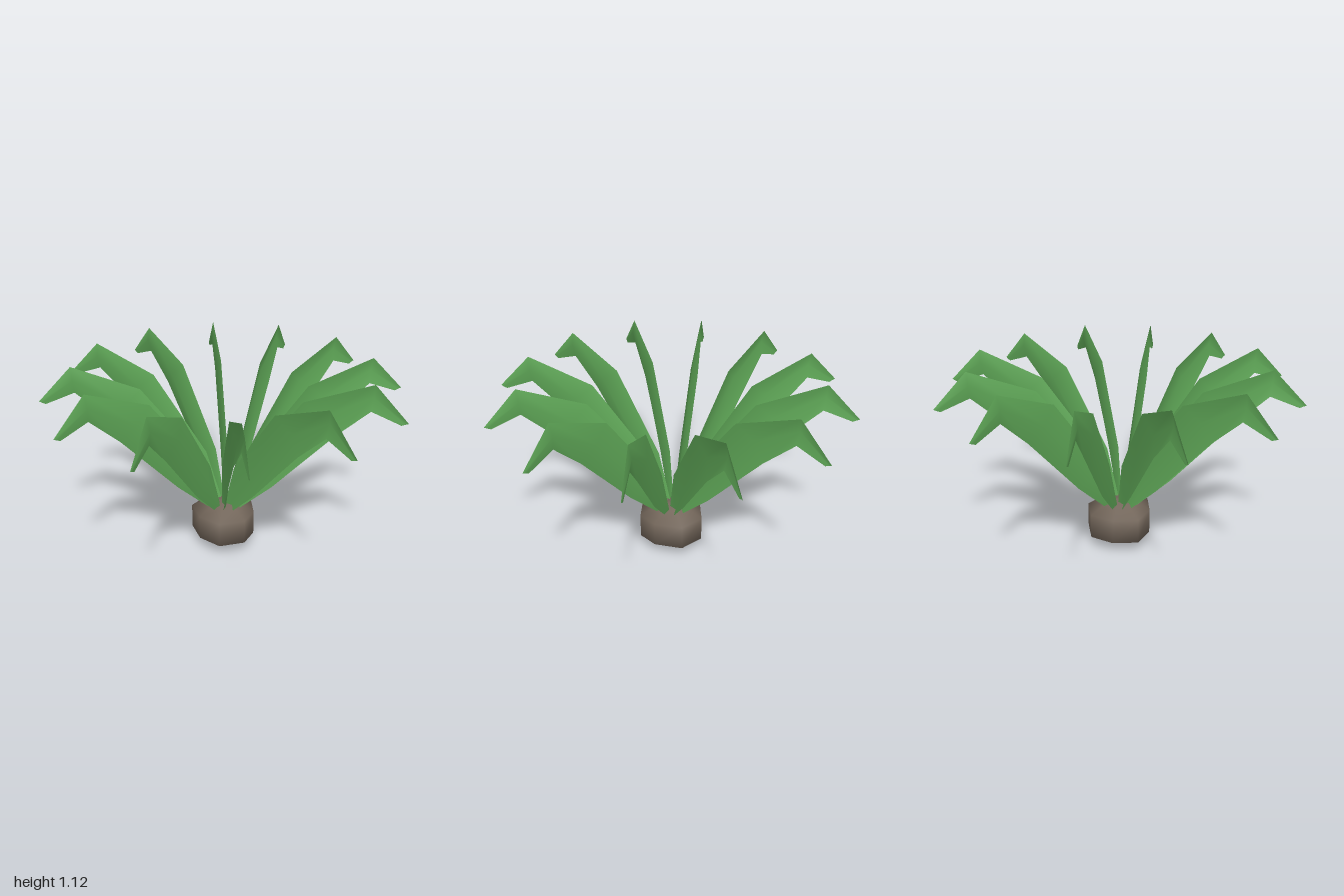
import * as THREE from 'three';

// Indexed surface from equal-length rows of points, smooth normals
function loft(rows, closed) {
  const n = rows[0].length, index = [];
  const last = closed ? n : n - 1;
  for (let i = 0; i < rows.length - 1; i++) {
    for (let j = 0; j < last; j++) {
      const a = i * n + j, b = i * n + (j + 1) % n;
      index.push(a, a + n, b, b, a + n, b + n);
    }
  }
  const geo = new THREE.BufferGeometry();
  geo.setAttribute('position', new THREE.Float32BufferAttribute(rows.flat(2), 3));
  geo.setIndex(index);
  geo.computeVertexNormals();
  return geo;
}

export function createModel() {
  const leafGreen = new THREE.MeshStandardMaterial({ color: 0x5fa757, side: THREE.DoubleSide });
  leafGreen.name = 'leafGreen';
  const bulbBrown = new THREE.MeshStandardMaterial({ color: 0x74675b });
  bulbBrown.name = 'bulbBrown';

  const plant = new THREE.Group();
  plant.name = 'plant';

  // Lumpy bulb: one uneven outline scaled at several heights
  const outline = [[0.195, 0], [0.14, 0.14], [0, 0.18], [-0.14, 0.14],
    [-0.18, 0], [-0.14, -0.14], [0, -0.195], [0.14, -0.11]];
  const levels = [[0, 0], [0.075, 1], [0.22, 1], [0.268, 0.5], [0.28, 0]];
  const bulbRows = levels.map(([y, s]) => outline.map(([x, z]) => [x * s, y, z * s]));
  const bulb = new THREE.Mesh(loft(bulbRows, true), bulbBrown);
  bulb.name = 'bulb';
  plant.add(bulb);

  // Blade sections: upper edge, lower edge (radius, height) and fold depth
  const sections = [
    [0.03, 0.27, 0.1, 0.25, 0.02],
    [0.13, 0.55, 0.3, 0.44, 0.03],
    [0.46, 0.98, 0.64, 0.82, 0.028],
    [0.82, 1.125, 0.81, 0.98, 0.014],
    [1.0, 0.942, 0.965, 0.926, 0.002],
  ];
  const bladeRows = sections.map(([ux, uy, lx, ly, d]) => [
    [ux, uy, d], [(ux + lx) / 2, (uy + ly) / 2, 0], [lx, ly, d],
  ]);
  const blade = loft(bladeRows, false);

  // Twelve folded leaves fanned evenly around the bulb
  for (let i = 0; i < 12; i++) {
    const leaf = new THREE.Mesh(blade, leafGreen);
    leaf.name = `leaf${i + 1}`;
    leaf.rotation.y = (i * Math.PI) / 6;
    plant.add(leaf);
  }
  return plant;
}
